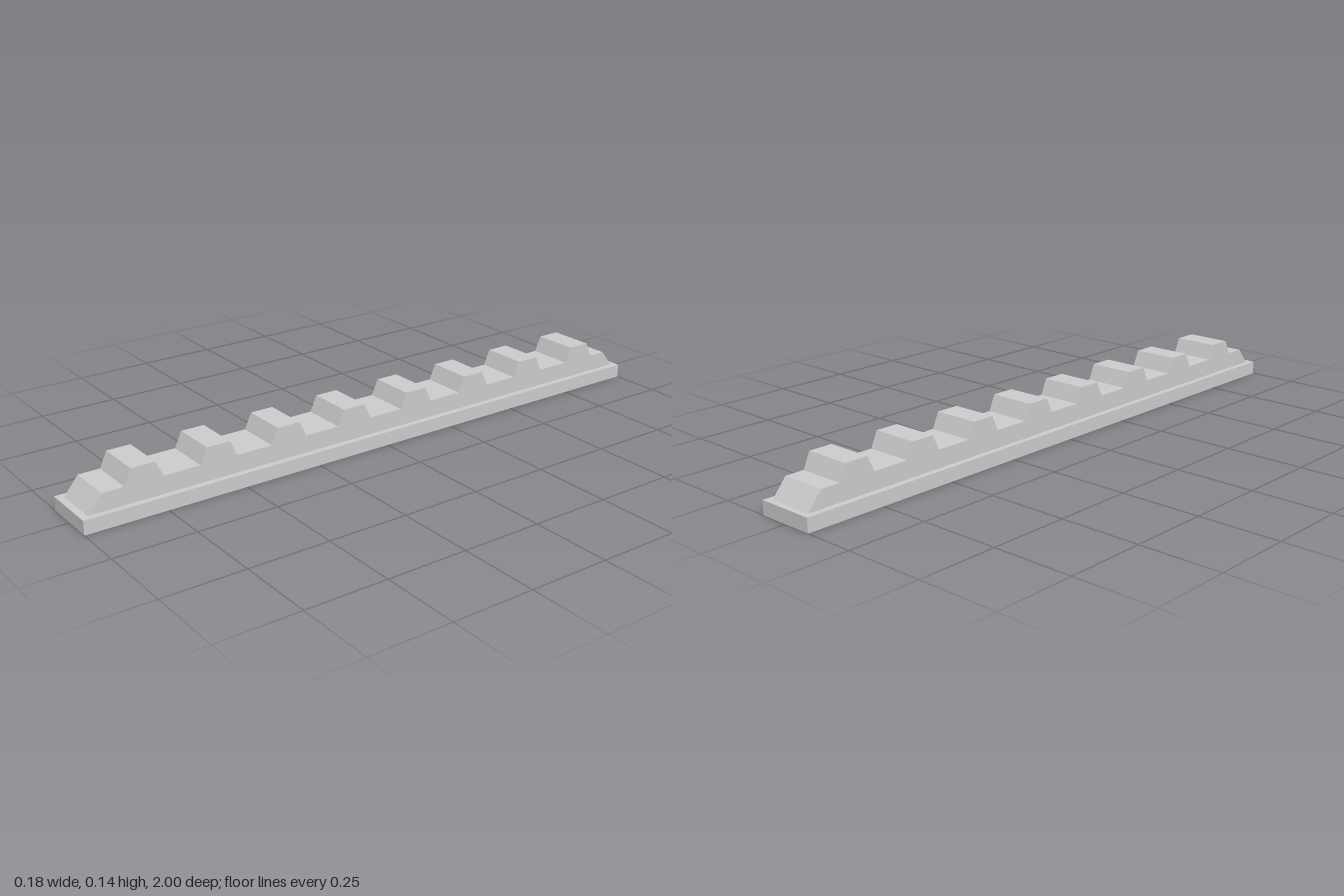
import * as THREE from 'three';

const BASE_TOP = 0.043, ROOT = 0.097, TIP = 0.145;
const TEETH = 8, PITCH = 0.2325, FIRST = -0.819;

export function createModel() {
  const model = new THREE.Group();
  model.name = 'gearRack';
  const material = new THREE.MeshStandardMaterial({ color: 0xcccccc, flatShading: true });

  // Flat mounting strip
  const base = new THREE.Mesh(new THREE.BoxGeometry(0.184, BASE_TOP, 2), material);
  base.name = 'baseStrip';
  base.position.y = BASE_TOP / 2;
  model.add(base);

  // Side profile of the rack: sloped ends and a row of trapezoid teeth
  const profile = new THREE.Shape();
  profile.moveTo(0.978, BASE_TOP);
  profile.lineTo(0.934, ROOT);
  for (let i = TEETH - 1; i >= 0; i--) {
    const z = FIRST + i * PITCH;
    profile.lineTo(z + 0.059, ROOT);
    profile.lineTo(z + 0.037, TIP);
    profile.lineTo(z - 0.037, TIP);
    profile.lineTo(z - 0.059, ROOT);
  }
  profile.lineTo(-0.937, ROOT);
  profile.lineTo(-0.982, BASE_TOP);
  profile.closePath();

  // Extrude the profile across the width and turn it along z
  const width = 0.146;
  const geometry = new THREE.ExtrudeGeometry(profile, { depth: width, bevelEnabled: false });
  geometry.translate(0, 0, -width / 2);
  geometry.rotateY(-Math.PI / 2);
  const rack = new THREE.Mesh(geometry, material);
  rack.name = 'toothedRack';
  model.add(rack);

  return model;
}
